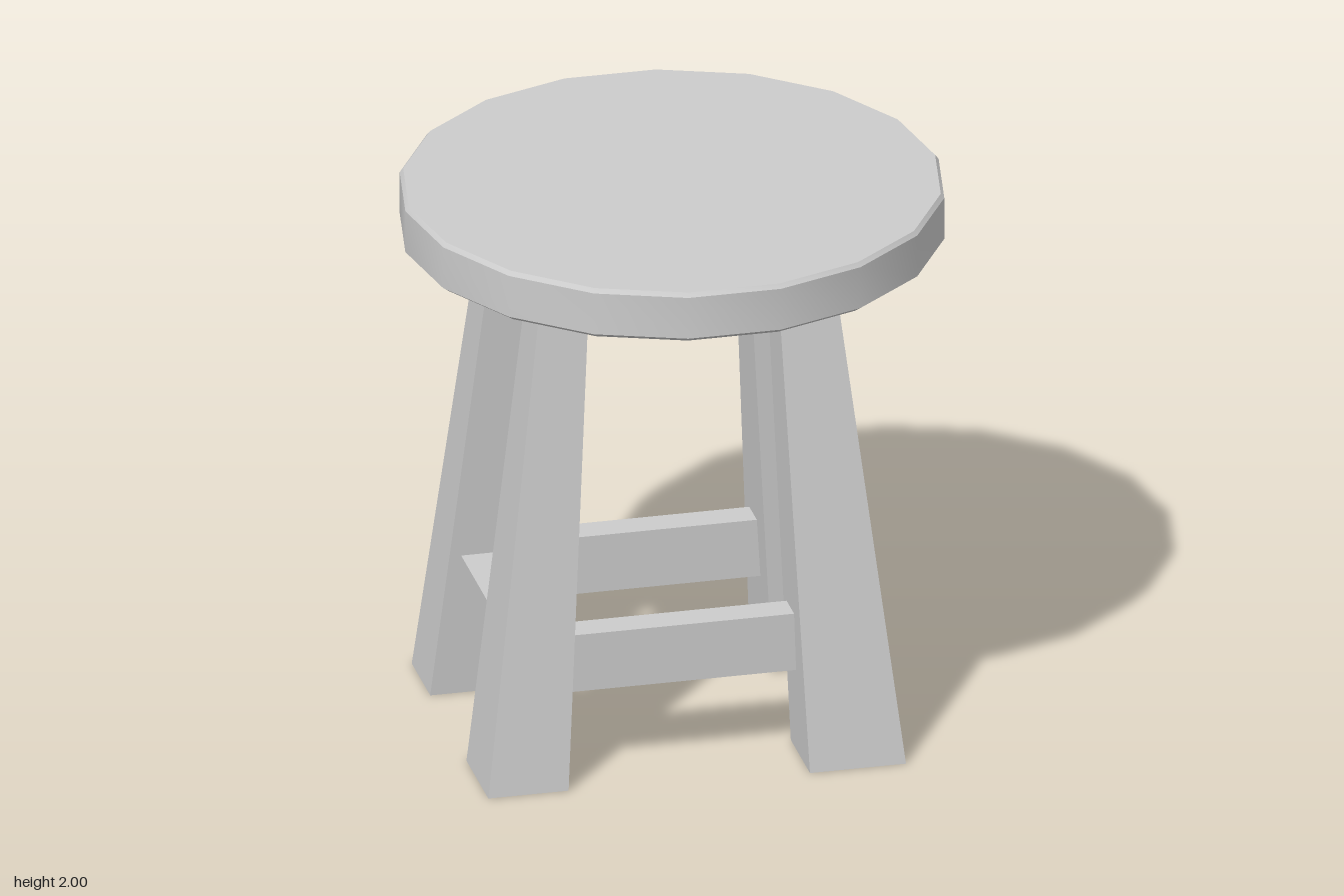
import * as THREE from 'three';
import { toCreasedNormals } from 'three/addons/utils/BufferGeometryUtils.js';

const material = new THREE.MeshStandardMaterial({ color: 0xcccccc });
const openMaterial = new THREE.MeshStandardMaterial({ color: 0xcccccc, side: THREE.DoubleSide, flatShading: true });
const LEG_TOP = 1.83;

// Tapered leg, open at both ends; each rectangle is [xMin, xMax, zMin, zMax]
function makeLeg(name, bottom, top) {
  const geometry = new THREE.BufferGeometry();
  const corners = ([x0, x1, z0, z1], y) => [[x0, y, z1], [x1, y, z1], [x1, y, z0], [x0, y, z0]];
  const low = corners(bottom, 0);
  const high = corners(top, LEG_TOP);
  const positions = [];
  for (let i = 0; i < 4; i++) {
    const j = (i + 1) % 4;
    for (const p of [low[i], low[j], high[j], low[i], high[j], high[i]]) positions.push(...p);
  }
  geometry.setAttribute('position', new THREE.Float32BufferAttribute(positions, 3));
  geometry.computeVertexNormals();
  const leg = new THREE.Mesh(geometry, openMaterial);
  leg.name = name;
  return leg;
}

// Rail between two neighbouring legs
function makeRail(name, x0, x1, z0, z1) {
  const y0 = 0.315, y1 = 0.525;
  const rail = new THREE.Mesh(new THREE.BoxGeometry(x1 - x0, y1 - y0, z1 - z0), material);
  rail.position.set((x0 + x1) / 2, (y0 + y1) / 2, (z0 + z1) / 2);
  rail.name = name;
  return rail;
}

export function createModel() {
  const stool = new THREE.Group();
  stool.name = 'stool';

  // Eighteen-sided seat with a small bevel on both rims
  const profile = [[0, 1.815], [0.905, 1.815], [0.93, 1.833], [0.93, 1.985], [0.918, 2], [0, 2]]
    .map(([r, y]) => new THREE.Vector2(r, y));
  const seatGeometry = toCreasedNormals(
    new THREE.LatheGeometry(profile, 18, Math.PI / 2), Math.PI / 6);
  const seat = new THREE.Mesh(seatGeometry, material);
  seat.name = 'seat';
  stool.add(seat);

  // Splayed legs; diagonal pairs share the same proportions
  stool.add(
    makeLeg('frontLeftLeg', [0.35, 0.685, 0.27, 0.55], [0.29, 0.48, 0.135, 0.303]),
    makeLeg('backLeftLeg', [0.42, 0.70, -0.63, -0.29], [0.312, 0.48, -0.427, -0.23]),
    makeLeg('backRightLeg', [-0.755, -0.42, -0.64, -0.37], [-0.548, -0.36, -0.427, -0.255]),
    makeLeg('frontRightLeg', [-0.76, -0.48, 0.18, 0.50], [-0.525, -0.36, 0.13, 0.31]),
  );

  // Four rails tucked into the legs
  stool.add(
    makeRail('frontRail', -0.5, 0.4, 0.28, 0.39),
    makeRail('backRail', -0.46, 0.43, -0.50, -0.39),
    makeRail('leftRail', 0.48, 0.595, -0.33, 0.29),
    makeRail('rightRail', -0.655, -0.54, -0.40, 0.22),
  );
  return stool;
}
